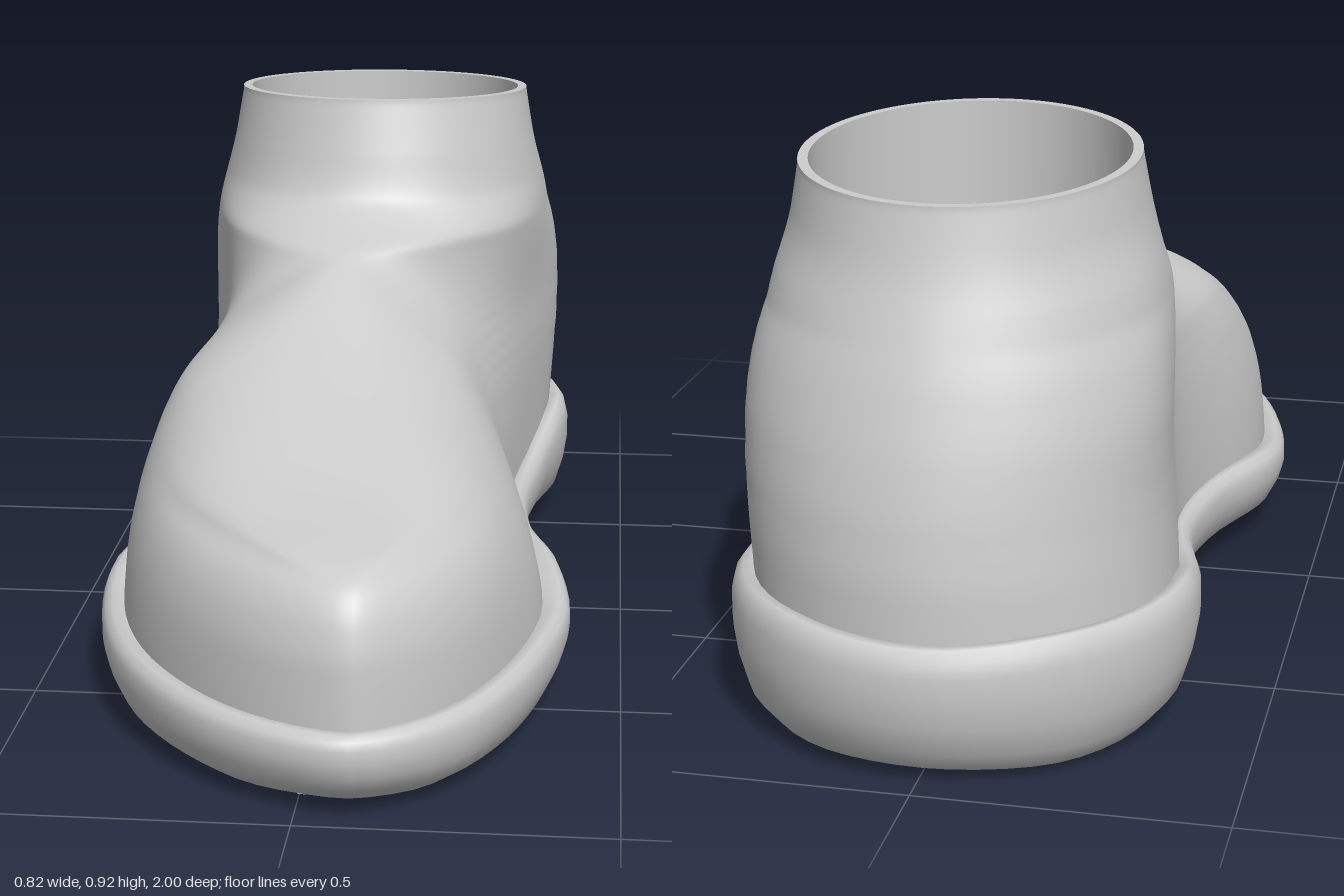
import * as THREE from 'three';

const { lerp, smoothstep, clamp } = THREE.MathUtils;

// Smooth monotone lookup in [key, value] pairs with ascending keys
function lookup(table, k) {
  const last = table.length - 1;
  if (k <= table[0][0]) return table[0][1];
  if (k >= table[last][0]) return table[last][1];
  const secant = i => (table[i + 1][1] - table[i][1]) / (table[i + 1][0] - table[i][0]);
  const slope = i => {
    const a = secant(Math.max(i - 1, 0)), b = secant(Math.min(i, last - 1));
    return a * b > 0 ? 2 * a * b / (a + b) : 0;
  };
  let i = 0;
  while (k > table[i + 1][0]) i++;
  const [k0, v0] = table[i], [k1, v1] = table[i + 1], h = k1 - k0, u = (k - k0) / h;
  const ease = u * u * (3 - 2 * u);
  return lerp(v0, v1, ease) + h * u * (1 - u) * ((1 - u) * slope(i) - u * slope(i + 1));
}

// Skin a stack of closed rings (counter-clockwise from above, ordered outward)
function loft(rings, name, material) {
  const n = rings[0].length, index = [];
  for (let r = 0; r < rings.length - 1; r++) {
    for (let i = 0; i < n; i++) {
      const a = r * n + i, b = r * n + (i + 1) % n;
      index.push(a, b, b + n, a, b + n, a + n);
    }
  }
  const geometry = new THREE.BufferGeometry();
  geometry.setAttribute('position', new THREE.Float32BufferAttribute(rings.flat(2), 3));
  geometry.setIndex(index);
  geometry.computeVertexNormals();
  const mesh = new THREE.Mesh(geometry, material);
  mesh.name = name;
  return mesh;
}

// Even out a stack of rings, keeping the first and last in place
function relax(rings) {
  return rings.map((ring, r) => r === 0 || r === rings.length - 1 ? ring : ring.map((p, i) => {
    const n = ring.length, next = ring[(i + 1) % n], prev = ring[(i + n - 1) % n];
    return p.map((v, c) => v / 2 + (next[c] + prev[c] + rings[r - 1][i][c] + rings[r + 1][i][c]) / 8);
  }));
}

// Footprint outline [x, z], starting at the toe and passing the +x side first
const OUTLINE = [
  [0.09, 1], [0.19, 0.945], [0.265, 0.86], [0.325, 0.74], [0.375, 0.58], [0.41, 0.37], [0.385, 0.17], [0.335, 0],
  [0.32, -0.18], [0.345, -0.4], [0.385, -0.65], [0.32, -0.83], [0.17, -0.96], [-0.02, -1], [-0.2, -0.94],
  [-0.32, -0.82], [-0.38, -0.65], [-0.36, -0.42], [-0.312, -0.2], [-0.335, 0], [-0.408, 0.22], [-0.395, 0.43],
  [-0.335, 0.63], [-0.255, 0.77], [-0.14, 0.9], [-0.02, 0.975],
];
const curve = new THREE.CatmullRomCurve3(OUTLINE.map(([x, z]) => new THREE.Vector3(x, 0, z)), true);
const COUNT = 96;
function insetOutline(d) {
  return Array.from({ length: COUNT }, (_, i) => {
    const p = curve.getPointAt(i / COUNT), t = curve.getTangentAt(i / COUNT);
    return [p.x + t.z * d, p.z - t.x * d];
  });
}

// Side profiles of the sole, by z
const SOLE_BOTTOM = [[-1, 0.02], [-0.85, 0.003], [-0.7, 0.005], [-0.55, 0.02], [-0.4, 0.034], [0.3, 0.034],
  [0.42, 0.018], [0.55, 0.002], [0.85, 0.008], [1, 0.03]];
const SOLE_TOP = [[-1, 0.235], [-0.9, 0.248], [-0.7, 0.244], [-0.58, 0.235], [-0.48, 0.205], [-0.36, 0.18],
  [-0.2, 0.172], [0.15, 0.17], [0.4, 0.146], [1, 0.145]];

function makeSole(material) {
  // [inset, fraction of the wall height, x scale]
  const section = [[0.09, 0, 0], [0.09, 0, 0.5], [0.09, 0, 1], [0.052, 0.05, 1], [0.022, 0.2, 1], [0.007, 0.42, 1],
    [0, 0.62, 1], [0, 0.82, 1], [0.006, 0.93, 1], [0.018, 1, 1], [0.032, 1, 1], [0.06, 0.9, 1]];
  return loft(section.map(([d, f, sx]) => insetOutline(d).map(([x, z]) =>
    [x * sx, lerp(lookup(SOLE_BOTTOM, z), lookup(SOLE_TOP, z), f), z])), 'sole', material);
}

// Instep and ankle front, as [z, y]
const INSTEP = [[-0.19, 0.92], [-0.16, 0.83], [-0.128, 0.745], [-0.08, 0.71], [0, 0.675], [0.1, 0.63], [0.2, 0.585],
  [0.3, 0.545], [0.4, 0.506], [0.5, 0.47], [0.6, 0.437], [0.7, 0.41], [0.8, 0.392]];
// Crown height over each z, carried flat over the toe, and the front end of each height
const CROWN = [[-0.5, 4], [-0.35, 1.6], ...INSTEP, [0.97, 0.386]];
const FRONT = [[0.1, 0.972], [0.24, 0.968], [0.3, 0.955], [0.35, 0.925], [0.375, 0.88],
  ...INSTEP.map(([z, y]) => [y, z]).reverse()];
// Heel line and ankle half width by height
const HEEL = [[0.1, -0.964], [0.3, -0.96], [0.4, -0.948], [0.5, -0.926], [0.6, -0.895], [0.7, -0.86], [0.8, -0.828],
  [0.92, -0.8]];
const ANKLE = [[0.5, 0.348], [0.6, 0.336], [0.7, 0.317], [0.8, 0.298], [0.92, 0.278]];
const base = insetOutline(0.034);
const zMin = Math.min(...base.map(p => p[1])), zMax = Math.max(...base.map(p => p[1]));

// Centre and half width of the upper's footprint at z
function footprint(z) {
  const xs = [], zc = clamp(z, zMin + 1e-4, zMax - 1e-4);
  base.forEach(([x0, z0], i) => {
    const [x1, z1] = base[(i + 1) % COUNT];
    if ((z0 <= zc) !== (z1 <= zc)) xs.push(lerp(x0, x1, (zc - z0) / (z1 - z0)));
  });
  const lo = Math.min(...xs), hi = Math.max(...xs);
  return [(lo + hi) / 2, (hi - lo) / 2];
}

// Horizontal slice of the upper, blending from foot shape to ankle ellipse
const SIDES = 96;
function upperRing(y) {
  const front = lookup(FRONT, y), back = lookup(HEEL, y), blend = smoothstep(y, 0.48, 0.84);
  const toe = 1 - smoothstep(y, 0.365, 0.395), toeStart = front - 0.35;
  const ankleFront = Math.min(front, 0), ankleMid = (ankleFront + back) / 2, ankleHalf = ankleFront - ankleMid;
  return Array.from({ length: SIDES }, (_, i) => {
    const a = i / SIDES * Math.PI * 2, side = Math.sign(Math.sin(a));
    const z = (front + back) / 2 + (front - back) / 2 * Math.cos(a);
    // Heel and toe ends keep the rounding of the footprint
    let zFoot = z;
    if (z < -0.5) zFoot = -0.5 + (z + 0.5) / (back + 0.5) * (zMin + 0.5);
    else if (z > toeStart) zFoot += toe * (z - toeStart) / 0.35 * (zMax - front);
    const [c, w] = footprint(zFoot);
    // Arched over the instep, boxier at the toe
    const t = Math.min(1, y / lookup(CROWN, z)), power = lerp(2.5, 4, smoothstep(z, 0.3, 0.8));
    const footWidth = w * Math.pow(1 - Math.pow(t, power), 1 / power);
    const lean = -0.06 * t * t * smoothstep(z, -0.4, 0) * (1 - smoothstep(z, 0.2, 0.7));
    const heelShift = 0.014 * smoothstep(-z, 0.1, 0.5) * smoothstep(y, 0.15, 0.45);
    const ankleWidth = lookup(ANKLE, y) * Math.sqrt(Math.max(0, 1 - ((z - ankleMid) / ankleHalf) ** 2));
    const half = i % (SIDES / 2) === 0 ? 0 : lerp(footWidth, ankleWidth, blend);
    const tilt = 0.035 * smoothstep(y, 0.6, 0.92) * (1 - Math.cos(a)) / 2;
    return [lerp(c + lean + heelShift, 0.016, blend) + side * half, y - tilt, z];
  });
}

export function createModel() {
  const group = new THREE.Group();
  const material = new THREE.MeshStandardMaterial({ color: 0xcccccc });
  group.add(makeSole(material));

  // Upper, from below the sole edge to the collar
  let rings = [];
  for (let y = 0.1; y < 0.9199; y += 0.005) rings.push(upperRing(y));
  const collar = upperRing(0.92);
  rings.push(collar);
  for (let pass = 0; pass < 7; pass++) rings = relax(rings);
  group.add(loft(rings, 'upper', material));

  // Collar rim, lining and insole
  const shrink = (scale, drop) => collar.map(([x, y, z]) =>
    [0.016 + (x - 0.016) * scale, lerp(y, 0.16, drop), -0.495 + (z + 0.495) * scale]);
  group.add(loft([collar, shrink(0.94, 0)], 'collarRim', material));
  group.add(loft([0, 0.25, 0.5, 0.75, 1].map(d => shrink(0.94, d)), 'lining', material));
  group.add(loft([shrink(0.94, 1), shrink(0, 1)], 'insole', material));
  return group;
}
